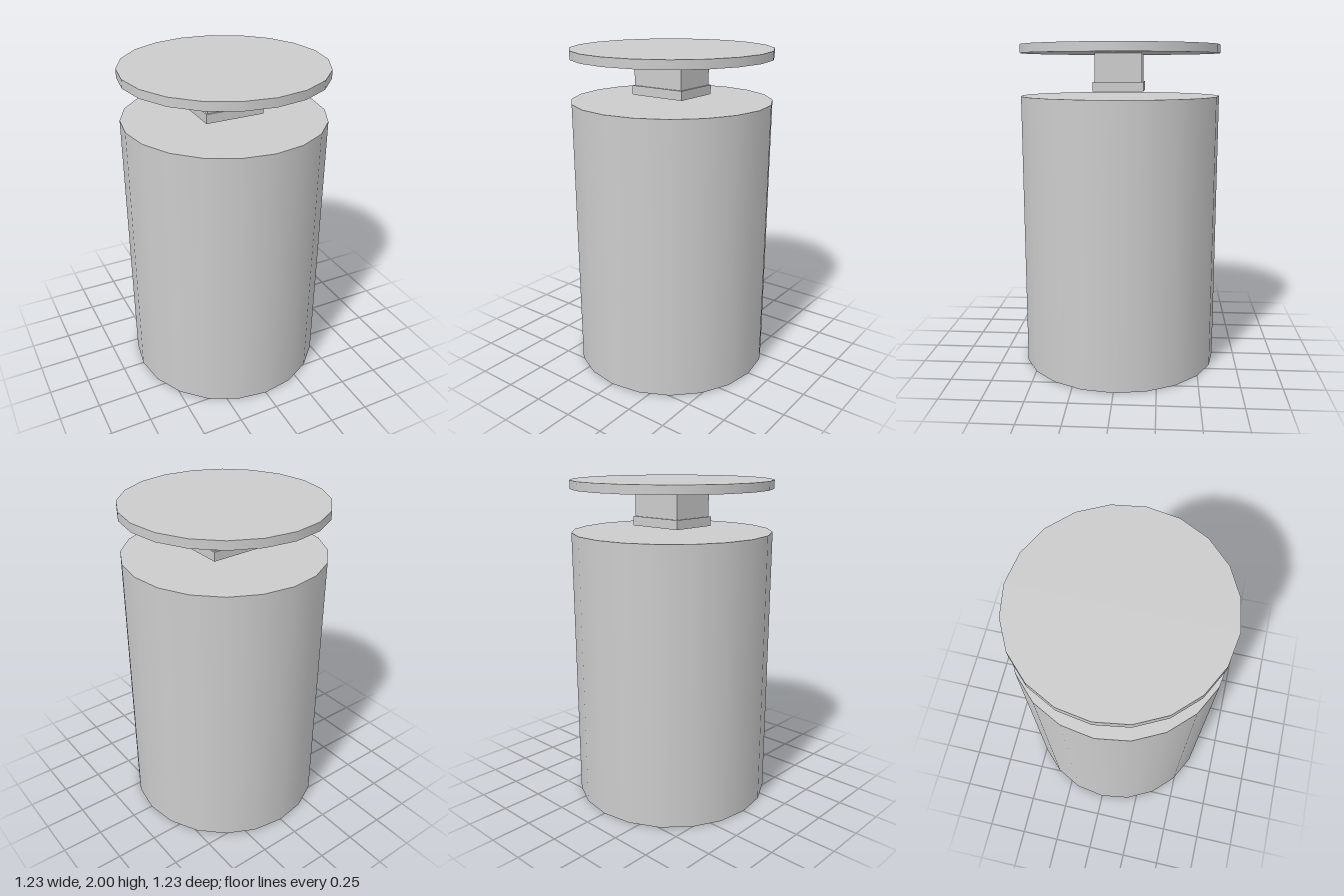
import * as THREE from 'three';

const SIDES = 20;
const RADIUS = 0.613;

export function createModel() {
  const model = new THREE.Group();
  const material = new THREE.MeshStandardMaterial({ color: 0xcccccc });

  // Adds a named part spanning two heights
  const add = (name, geometry, bottom, top) => {
    const mesh = new THREE.Mesh(geometry, material);
    mesh.name = name;
    mesh.position.y = (bottom + top) / 2;
    model.add(mesh);
  };
  const disc = (name, bottom, top) =>
    add(name, new THREE.CylinderGeometry(RADIUS, RADIUS, top - bottom, SIDES), bottom, top);
  const block = (name, width, depth, bottom, top) =>
    add(name, new THREE.BoxGeometry(width, top - bottom, depth), bottom, top);

  // Tall round body
  disc('body', 0, 1.692);

  // Floating block with a slightly wider foot, hanging under the lid
  block('neckFoot', 0.366, 0.302, 1.722, 1.778);
  block('neck', 0.346, 0.282, 1.778, 1.948);

  // Thin round lid
  disc('lid', 1.948, 2);

  return model;
}
